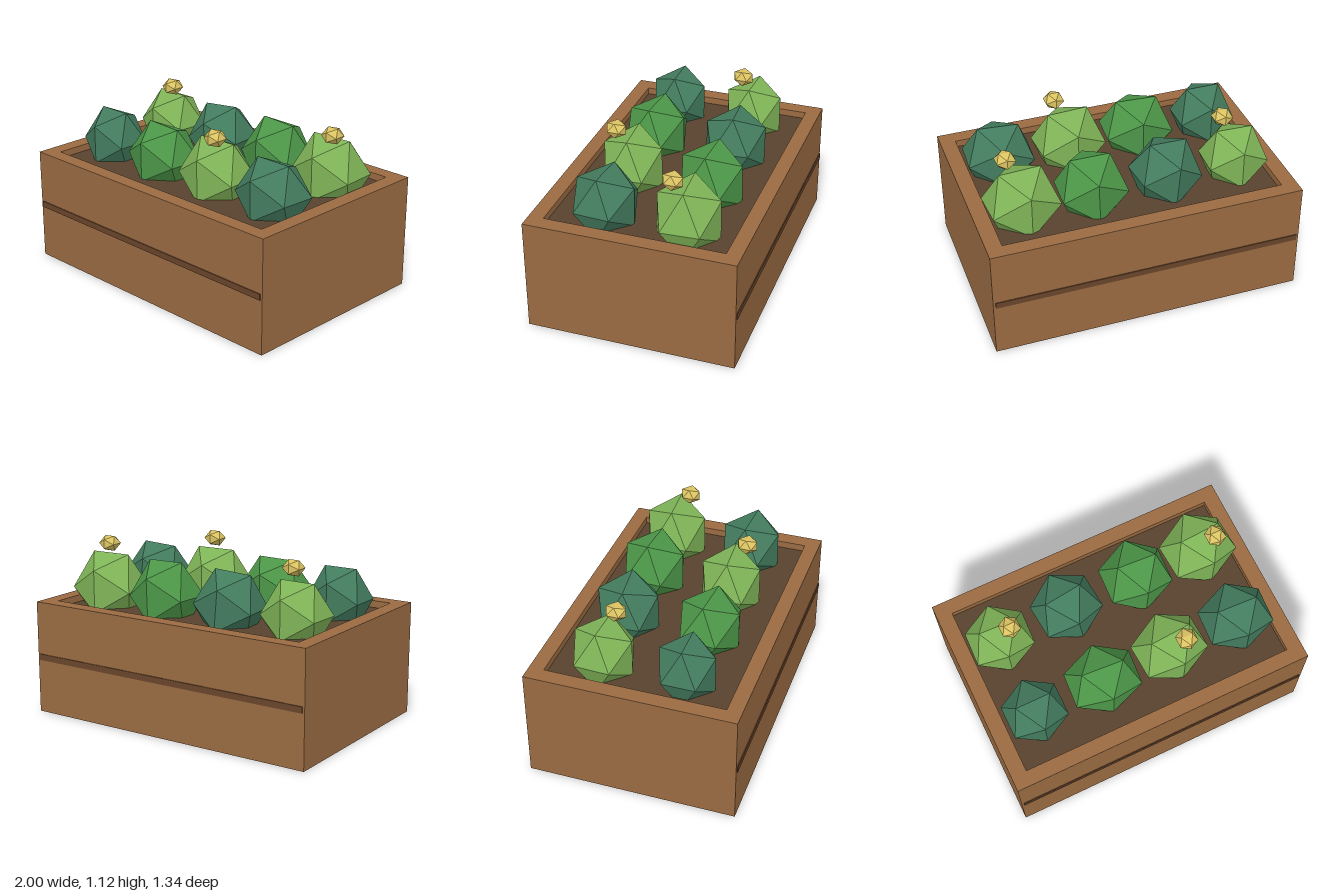
import * as THREE from 'three';

const paint = (name, color, flat = false) => {
  const m = new THREE.MeshStandardMaterial({ color, flatShading: flat });
  m.name = name;
  return m;
};

export function createModel() {
  const group = new THREE.Group();
  const wood = paint('wood', 0x9a6b42);
  const darkWood = paint('dark wood', 0x6a452b);
  const soil = paint('soil', 0x58422d);
  const gold = paint('blossom yellow', 0xdcc462, true);
  const teal = paint('teal leaf', 0x437c5e, true);
  const mid = paint('green leaf', 0x4c9648, true);
  const light = paint('light leaf', 0x7fb457, true);

  const add = (name, geometry, material, x, y, z) => {
    const mesh = new THREE.Mesh(geometry, material);
    mesh.name = name;
    mesh.position.set(x, y, z);
    group.add(mesh);
    return mesh;
  };

  // planter walls: a rectangular frame extruded upwards
  const H = 0.735;
  const frame = new THREE.Shape([
    new THREE.Vector2(-1, -0.665), new THREE.Vector2(1, -0.665),
    new THREE.Vector2(1, 0.665), new THREE.Vector2(-1, 0.665)]);
  frame.holes.push(new THREE.Path([
    new THREE.Vector2(-0.9, -0.57), new THREE.Vector2(-0.9, 0.57),
    new THREE.Vector2(0.9, 0.57), new THREE.Vector2(0.9, -0.57)]));
  const walls = new THREE.ExtrudeGeometry(frame, { depth: H, bevelEnabled: false });
  walls.rotateX(-Math.PI / 2);
  add('planterWalls', walls, wood, 0, 0, 0);
  add('planterFloor', new THREE.BoxGeometry(1.8, 0.05, 1.14), wood, 0, 0.025, 0);
  add('soil', new THREE.BoxGeometry(1.8, 0.64, 1.14), soil, 0, 0.37, 0);

  // thin dark strips on the front and back walls
  for (const side of [1, -1]) {
    add('strip', new THREE.BoxGeometry(1.97, 0.04, 0.008), darkWood, 0, 0.37, side * 0.667);
  }

  // faceted shrubs: material, x, z, size x / y / z, yaw, tilt
  const ball = new THREE.IcosahedronGeometry(1, 0);
  const shrubs = [
    [light, -0.70, -0.26, 0.225, 0.24, 0.215, -0.04, 0],
    [teal, -0.235, -0.275, 0.235, 0.25, 0.225, 0.09, 0.08],
    [mid, 0.25, -0.275, 0.243, 0.26, 0.23, -0.05, -0.03],
    [light, 0.695, -0.275, 0.255, 0.265, 0.23, 0.06, 0],
    [teal, -0.70, 0.265, 0.212, 0.235, 0.205, 0, 0],
    [mid, -0.235, 0.26, 0.255, 0.24, 0.22, -0.07, 0],
    [light, 0.23, 0.25, 0.252, 0.26, 0.22, 0.06, 0],
    [teal, 0.695, 0.25, 0.247, 0.24, 0.22, -0.06, 0.03]];
  for (const [leaf, x, z, sx, sy, sz, yaw, tilt] of shrubs) {
    const shrub = add('shrub', ball, leaf, x, 0.8, z);
    shrub.scale.set(sx, sy, sz);
    shrub.rotation.set(0, yaw, tilt);
  }

  // small blossoms above the light shrubs
  for (const [x, z] of [[-0.637, -0.2], [0.763, -0.2], [0.295, 0.333]]) {
    add('blossom', ball, gold, x, 1.07, z).scale.set(0.07, 0.057, 0.073);
  }
  return group;
}
